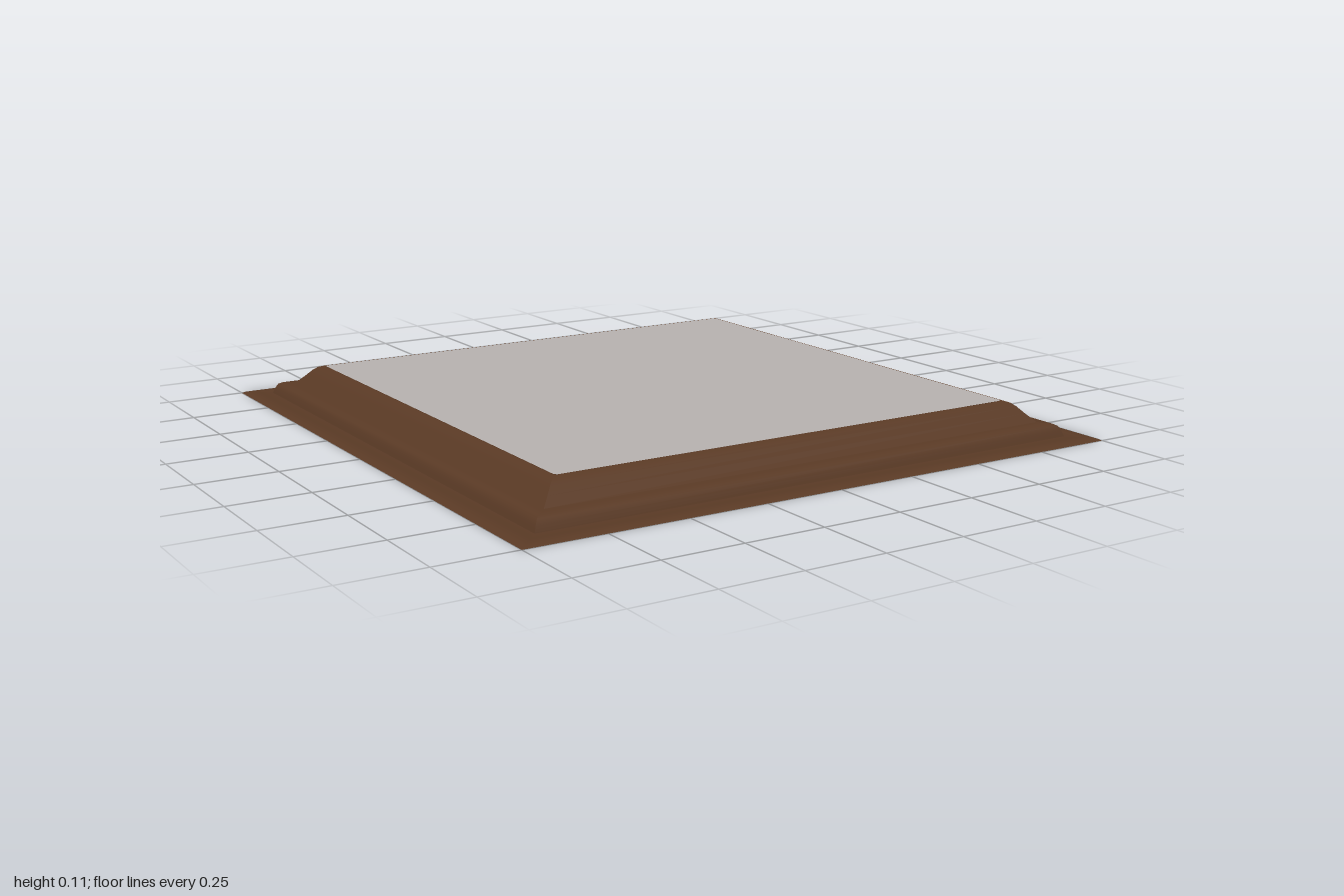
import * as THREE from 'three';
import { toCreasedNormals } from 'three/addons/utils/BufferGeometryUtils.js';

// Moulding section from outer lip to inner rim: [distance from centre, height]
const PROFILE = [
  [1, 0], [0.99, 0.005], [0.975, 0.008], [0.955, 0.008], [0.945, 0.007], [0.92, 0.007],
  [0.913, 0.025], [0.905, 0.039], [0.893, 0.045], [0.86, 0.047],
  [0.835, 0.072], [0.815, 0.094], [0.802, 0.104], [0.787, 0.109], [0.78, 0.107], [0.772, 0.105],
];

// One mitred side of the moulding, facing +z
function mouldingSide() {
  const positions = [];
  const index = [];
  PROFILE.forEach(([d, y], i) => {
    positions.push(-d, y, d, d, y, d);
    if (i > 0) {
      const a = 2 * (i - 1);
      index.push(a, a + 1, a + 3, a, a + 3, a + 2);
    }
  });
  const geometry = new THREE.BufferGeometry();
  geometry.setAttribute('position', new THREE.Float32BufferAttribute(positions, 3));
  geometry.setIndex(index);
  return toCreasedNormals(geometry, 0.6);
}

// Flat square with slightly rounded corners, lying in the xz plane
function roundedSquare(h, r) {
  const shape = new THREE.Shape();
  shape.absarc(h - r, h - r, r, 0, Math.PI / 2);
  shape.absarc(r - h, h - r, r, Math.PI / 2, Math.PI);
  shape.absarc(r - h, r - h, r, Math.PI, Math.PI * 1.5);
  shape.absarc(h - r, r - h, r, Math.PI * 1.5, Math.PI * 2);
  return new THREE.ShapeGeometry(shape, 6).rotateX(-Math.PI / 2);
}

export function createModel() {
  const wood = new THREE.MeshStandardMaterial({ color: 0x5a3a25, side: THREE.DoubleSide });
  wood.name = 'dark wood';
  const pale = new THREE.MeshStandardMaterial({ color: 0xb8b2b0, side: THREE.DoubleSide });
  pale.name = 'pale grey';

  const model = new THREE.Group();
  model.name = 'framedPanel';

  // Hollow stepped frame: four identical sides
  const frame = new THREE.Group();
  frame.name = 'frame';
  const sideGeometry = mouldingSide();
  ['front', 'left', 'back', 'right'].forEach((name, i) => {
    const side = new THREE.Mesh(sideGeometry, wood);
    side.name = name + 'Moulding';
    side.rotation.y = i * Math.PI / 2;
    frame.add(side);
  });
  model.add(frame);

  // Flat centre panel
  const panel = new THREE.Mesh(roundedSquare(0.784, 0.015), pale);
  panel.name = 'panel';
  panel.position.y = 0.109;
  model.add(panel);

  return model;
}
